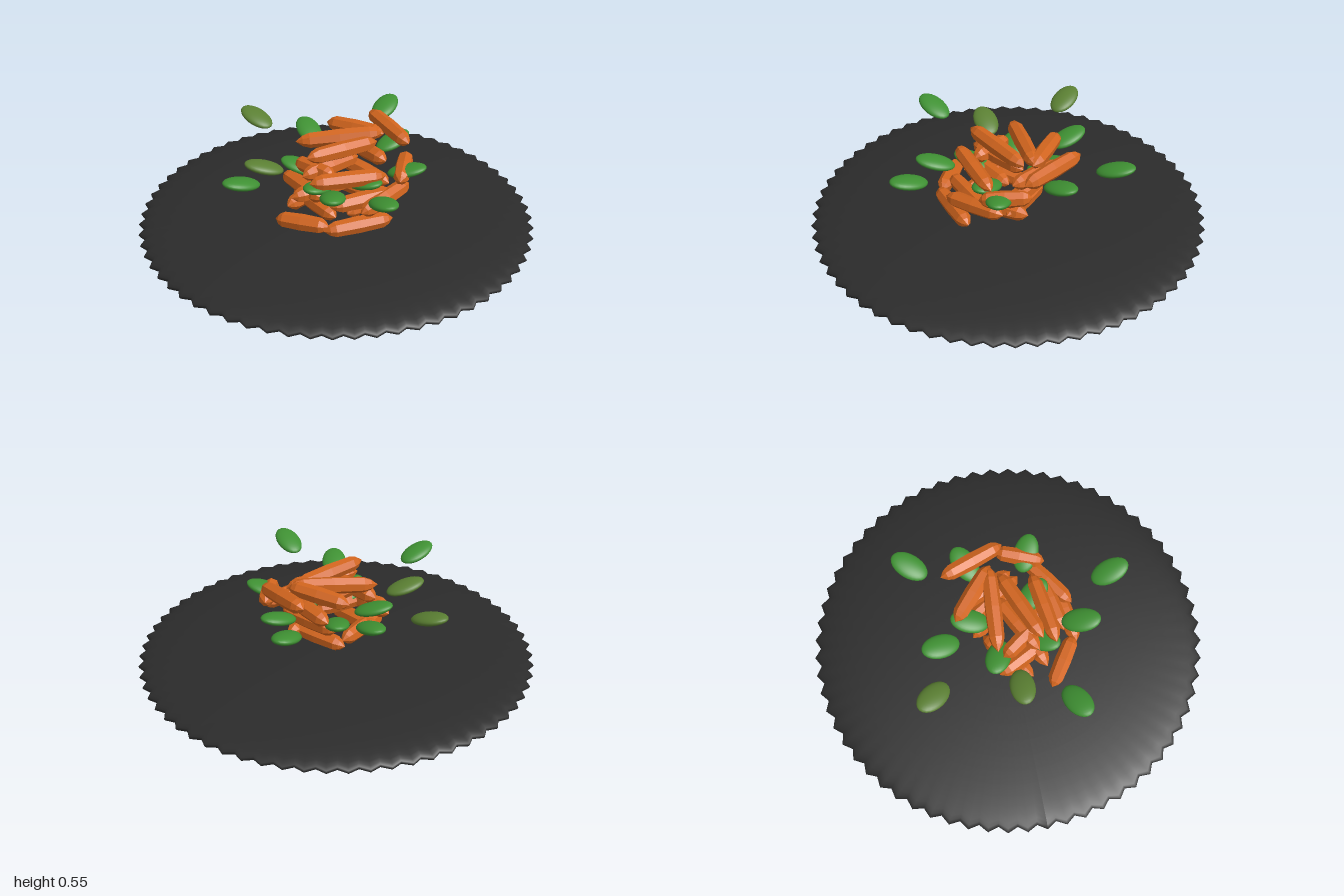
import * as THREE from 'three';

export function createModel() {
  const group = new THREE.Group();
  group.name = 'carrotSalad';

  const material = (name, color, flatShading = false) => {
    const m = new THREE.MeshStandardMaterial({ color, flatShading });
    m.name = name;
    return m;
  };
  const slate = material('charcoal', 0x2b2b2b);
  const orange = material('carrotOrange', 0xd2651e, true);
  const green = material('leafGreen', 0x3f9133);
  const olive = material('leafOlive', 0x5b8033);

  // Plate: a flattened ellipsoid whose rim is notched into small teeth
  const TEETH = 64;
  const plateGeo = new THREE.SphereGeometry(1, TEETH * 2, 32);
  const pos = plateGeo.attributes.position;
  for (let i = 0; i < pos.count; i++) {
    const x = pos.getX(i), y = pos.getY(i), z = pos.getZ(i);
    const r = Math.hypot(x, z);
    const tooth = Math.cos(Math.atan2(z, x) * TEETH);
    const k = 1 - 0.015 * (1 - tooth) * Math.pow(r, 8);
    pos.setXYZ(i, x * k, y * 0.08, z * k);
  }
  plateGeo.computeVertexNormals();
  const plate = new THREE.Mesh(plateGeo, slate);
  plate.name = 'plate';
  plate.position.y = 0.084;
  group.add(plate);

  // Carrot stick: faceted spindle of unit length, pointed at both ends
  const profile = [[0, -0.5], [0.027, -0.42], [0.039, -0.34], [0.043, 0], [0.039, 0.34], [0.027, 0.42], [0, 0.5]];
  const carrotGeo = new THREE.LatheGeometry(profile.map(([r, y]) => new THREE.Vector2(r, y)), 7);
  const up = new THREE.Vector3(0, 1, 0);

  // Each stick: x and z of both ends, then how far the second end rises
  const layers = [
    { y: 0.22, sticks: [
      [-0.33, 0.16, -0.09, 0.32, 0.02], [-0.12, 0.33, 0.23, 0.28, 0.01], [-0.26, 0.08, 0.0, -0.13, 0],
      [0.0, -0.18, 0.22, 0.08, 0.01], [-0.2, -0.08, -0.04, 0.22, -0.01], [0.02, 0.2, 0.25, -0.02, 0.01]] },
    { y: 0.315, sticks: [
      [0.06, 0.34, 0.34, 0.14, 0.03], [-0.25, -0.09, -0.1, 0.2, 0], [-0.25, 0.15, 0.1, 0.03, 0.01],
      [0.05, -0.2, 0.25, 0.1, -0.01], [-0.08, 0.27, 0.26, 0.2, 0.01]] },
    { y: 0.405, sticks: [
      [-0.17, 0.21, 0.22, 0.16, -0.02], [0.36, 0.0, 0.27, 0.24, -0.02], [-0.19, 0.12, 0.12, -0.04, 0],
      [0.1, -0.24, 0.24, 0.06, 0.02], [-0.19, -0.06, -0.04, 0.16, 0.02]] },
    { y: 0.505, sticks: [
      [-0.19, -0.085, 0.25, -0.05, 0.03], [-0.17, 0.14, 0.21, -0.01, -0.02],
      [0.23, -0.29, 0.36, 0.04, -0.03], [0.0, -0.26, 0.25, -0.04, 0.02]] },
  ];
  const carrots = new THREE.Group();
  carrots.name = 'carrotPile';
  for (const { y, sticks } of layers) {
    for (const [x1, z1, x2, z2, rise] of sticks) {
      const a = new THREE.Vector3(x1, y - rise / 2, z1);
      const b = new THREE.Vector3(x2, y + rise / 2, z2);
      const stick = new THREE.Mesh(carrotGeo, orange);
      stick.name = 'carrot';
      stick.position.lerpVectors(a, b, 0.5);
      stick.scale.y = a.distanceTo(b);
      stick.quaternion.setFromUnitVectors(up, b.sub(a).normalize());
      carrots.add(stick);
    }
  }
  group.add(carrots);

  // Leaves: flat ovals fanned around in three rings, tilted up outwards
  const rings = [{ r: 0.55, y: 0.468 }, { r: 0.36, y: 0.41 }, { r: 0.19, y: 0.353 }];
  const leafGeo = new THREE.SphereGeometry(1, 24, 16);
  const leaves = new THREE.Group();
  leaves.name = 'leaves';
  for (let i = 1; i < 14; i++) {
    const angle = (i * Math.PI * 2) / 14;
    const { r, y } = rings[i % 3];
    const leaf = new THREE.Mesh(leafGeo, i === 7 || i === 9 ? olive : green);
    leaf.name = 'leaf';
    leaf.scale.set(0.1, 0.027, 0.062);
    leaf.position.set(r * Math.cos(angle), y, r * Math.sin(angle));
    leaf.rotation.set(0, -angle, 0.28, 'YXZ');
    leaves.add(leaf);
  }
  group.add(leaves);

  return group;
}
